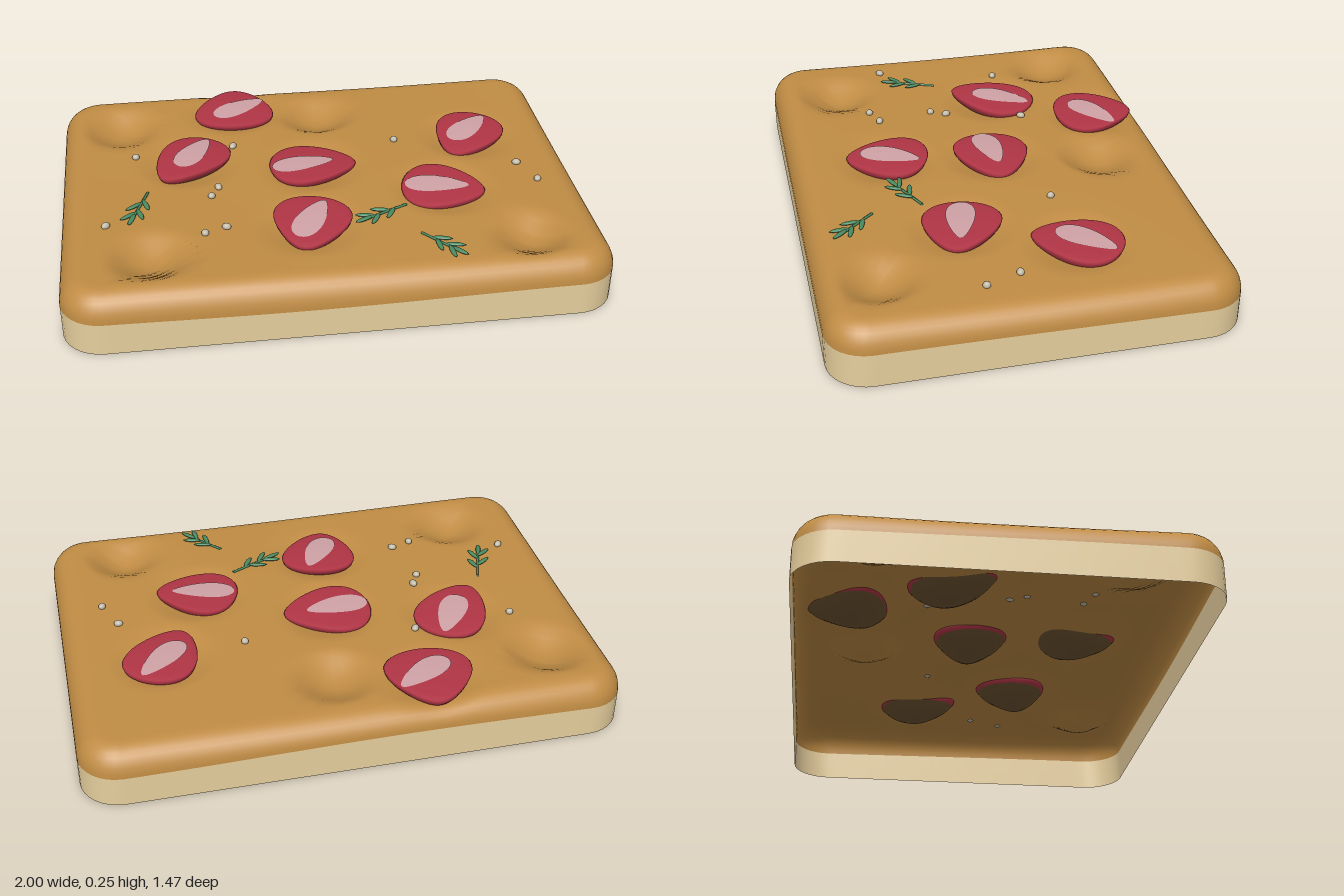
import * as THREE from 'three';

const mat = (name, color) => {
  const m = new THREE.MeshStandardMaterial({ color, side: THREE.DoubleSide });
  m.name = name;
  return m;
};

// Berry slices: x, z, rim height, tilt along z, tip direction, half length, half width
const BERRIES = [
  { slice: [-0.29, -0.54, 0.222, 0.02, -1.5, 0.16, 0.155], core: [-0.27, -0.53, -0.55] },
  { slice: [-0.5, -0.155, 0.224, 0.02, 2.2, 0.18, 0.13], core: [-0.48, -0.19, -1.05] },
  { slice: [-0.02, -0.05, 0.226, 0.04, 0.02, 0.17, 0.14], core: [-0.06, -0.045, -0.1] },
  { slice: [-0.08, 0.36, 0.232, -0.05, 1.85, 0.16, 0.14], core: [-0.075, 0.35, -1.05] },
  { slice: [0.455, 0.18, 0.226, -0.03, 0.3, 0.16, 0.14], core: [0.43, 0.175, 0.2] },
  { slice: [0.635, -0.205, 0.224, -0.02, 2.1, 0.17, 0.13], core: [0.645, -0.235, -0.8] },
];

// Finger dimples: x, z, radius, depth
const DIMPLES = [
  [-0.76, -0.46, 0.17, 0.06], [0.05, -0.46, 0.17, 0.06],
  [-0.67, 0.48, 0.17, 0.06], [0.71, 0.52, 0.16, 0.06],
  ...BERRIES.map(b => [b.slice[0], b.slice[1], 0.21, 0.035]),
];

// Height of the crust, gently uneven and pressed in at the dimples
function crustY(x, z) {
  let y = 0.22 + 0.007 * Math.sin(3.2 * x + 0.8) * Math.cos(3 * z) + 0.009 * z;
  for (const [cx, cz, r, depth] of DIMPLES) {
    const q = ((x - cx) ** 2 + (z - cz) ** 2) / (r * r);
    if (q < 1) y -= depth * (1 - q) ** 1.6;
  }
  return y;
}

// Joins closed rings of [x, y, z] points into a smooth skin
function loft(rings) {
  const n = rings[0].length, index = [];
  for (let i = 0; i < rings.length - 1; i++) {
    for (let j = 0; j < n; j++) {
      const k = (j + 1) % n;
      const a = i * n + j, b = i * n + k, c = a + n, d = b + n;
      index.push(a, c, b, b, c, d);
    }
  }
  const g = new THREE.BufferGeometry();
  g.setAttribute('position', new THREE.Float32BufferAttribute(rings.flat(2), 3));
  g.setIndex(index);
  g.computeVertexNormals();
  return g;
}

// Rounded rectangle of the loaf, inset by d
function loafOutline(d) {
  const r = 0.15, pts = [], arcs = 8, edge = 28;
  [[1, 1], [-1, 1], [-1, -1], [1, -1]].forEach(([sx, sz], q) => {
    for (let i = 0; i <= arcs; i++) {
      const t = (q + i / arcs) * Math.PI / 2;
      pts.push([sx * (1 - r) + (r - d) * Math.cos(t), sz * (0.735 - r) + (r - d) * Math.sin(t)]);
    }
    const [x, z] = pts[pts.length - 1];
    for (let i = 1; i < edge; i++) {
      const f = 1 - 2 * i / edge;
      pts.push(q % 2 === 0 ? [sx * (1 - r) * f, z] : [x, sz * (0.735 - r) * f]);
    }
  });
  return pts;
}

// Teardrop outline whose narrow tip points along the given angle
function teardrop(x, z, angle, length, width) {
  return Array.from({ length: 48 }, (_, i) => {
    const t = i / 48 * Math.PI * 2;
    const u = length * Math.cos(t), v = width * Math.sin(t) * (1 - 0.35 * Math.cos(t));
    return [x + u * Math.cos(angle) - v * Math.sin(angle), z + u * Math.sin(angle) + v * Math.cos(angle)];
  });
}

export function createModel() {
  const model = new THREE.Group();
  const crustMat = mat('golden crust', 0xc08c44), crumbMat = mat('pale crumb', 0xead2a0);
  const redMat = mat('berry red', 0xb03545), coreMat = mat('berry core', 0xcfa2a6);
  const underMat = mat('berry underside', 0x6f5432);
  const greenMat = mat('herb green', 0x4a8a60), saltMat = mat('salt', 0xc4bca8);
  const add = (parent, geo, material, name) => {
    const m = new THREE.Mesh(geo, material);
    m.name = name;
    parent.add(m);
    return m;
  };

  // Side wall, open underneath
  const seam = (x, z) => 0.122 + 0.007 * Math.cos(3 * x + 2 * z + 2);
  const wall = loafOutline(0);
  add(model, loft([0, 0.5, 1].map(f => wall.map(([x, z]) => [x, seam(x, z) * f, z]))),
    crumbMat, 'sideWall');

  // Crust: rounded shoulder, then rings shrinking to the middle
  const crust = [], round = 0.09;
  for (let i = 0; i <= 8; i++) {
    const t = i / 8 * Math.PI / 2;
    crust.push(loafOutline(round * (1 - Math.cos(t))).map(([x, z]) => {
      const low = seam(x, z);
      return [x, low + (crustY(x, z) - low) * Math.sin(t), z];
    }));
  }
  const inner = loafOutline(round);
  for (let i = 1; i <= 45; i++) {
    const s = 1 - i / 45;
    crust.push(inner.map(([x, z]) => [x * s, crustY(x * s, z * s), z * s]));
  }
  add(model, loft(crust), crustMat, 'crust');

  // Berry slices: dark rounded underside, red rim and domed top, pale core
  const under = [[0, -0.08], [0.3, -0.077], [0.6, -0.064], [0.8, -0.047], [0.91, -0.03]];
  const flesh = [[0.91, -0.03], [0.97, -0.018], [1, -0.005],
    [0.97, 0], [0.8, 0], [0.6, 0], [0.4, 0], [0.2, 0], [0, 0]];
  BERRIES.forEach(({ slice: [cx, cz, y, tilt, angle, length, width], core: [kx, kz, coreAngle] }) => {
    const berry = new THREE.Group();
    berry.name = 'berrySlice';
    model.add(berry);
    const top = (x, z) => y + tilt * (z - cz)
      + 0.013 * Math.max(0, 1 - ((x - cx) ** 2 + (z - cz) ** 2) / 0.04);
    const ring = (pts, ox, oz, s, dy) => pts.map(([px, pz]) => {
      const x = ox + (px - ox) * s, z = oz + (pz - oz) * s;
      return [x, top(x, z) + dy, z];
    });
    const rim = teardrop(cx, cz, angle, length, width);
    const skin = profile => loft(profile.map(([s, dy]) => ring(rim, cx, cz, s, dy)));
    add(berry, skin(under), underMat, 'berryUnderside');
    add(berry, skin(flesh), redMat, 'berryFlesh');
    const patch = teardrop(kx, kz, coreAngle, 0.122, 0.052);
    add(berry, loft([1, 0.75, 0.5, 0.25, 0].map(s => ring(patch, kx, kz, s, 0.003))), coreMat, 'berryCore');
  });

  // Herb sprigs: thin stem with paired leaves and a leaf at the tip
  const leafGeo = new THREE.SphereGeometry(1, 10, 6);
  [[-0.67, 0.06, -0.74, 0.26], [0.29, 0.29, 0.1, 0.38], [0.31, 0.48, 0.43, 0.62]].forEach(([x0, z0, x1, z1]) => {
    const sprig = new THREE.Group();
    sprig.name = 'herbSprig';
    model.add(sprig);
    const at = f => {
      const x = x0 + (x1 - x0) * f, z = z0 + (z1 - z0) * f;
      return new THREE.Vector3(x, crustY(x, z) + 0.006, z);
    };
    const path = new THREE.CatmullRomCurve3([0, 0.3, 0.6, 0.9].map(at));
    add(sprig, new THREE.TubeGeometry(path, 12, 0.005, 6), greenMat, 'stem');
    const dir = Math.atan2(z1 - z0, x1 - x0);
    const leaf = (f, turn) => {
      const a = dir + turn, p = at(f);
      const m = add(sprig, leafGeo, greenMat, 'leaf');
      m.scale.set(0.038, 0.006, 0.01);
      m.position.set(p.x + 0.036 * Math.cos(a), p.y + 0.003, p.z + 0.036 * Math.sin(a));
      m.rotation.y = -a;
    };
    for (const f of [0.32, 0.64]) for (const side of [-1, 1]) leaf(f + side * 0.05, side * 0.6);
    leaf(0.75, 0);
  });

  // Coarse salt
  const grain = new THREE.IcosahedronGeometry(0.015, 1);
  [[-0.71, -0.21], [-0.32, -0.24], [0.33, -0.19], [0.78, 0.04], [0.83, 0.17], [-0.4, 0.06],
    [-0.43, 0.12], [-0.83, 0.27], [-0.47, 0.37], [-0.39, 0.34]].forEach(([x, z], i) => {
    const m = add(model, grain, saltMat, 'saltGrain');
    m.position.set(x, crustY(x, z) + 0.006, z);
    m.scale.set(1 + 0.2 * (i % 2), 0.9, 0.95);
    m.rotation.y = i;
  });

  return model;
}
